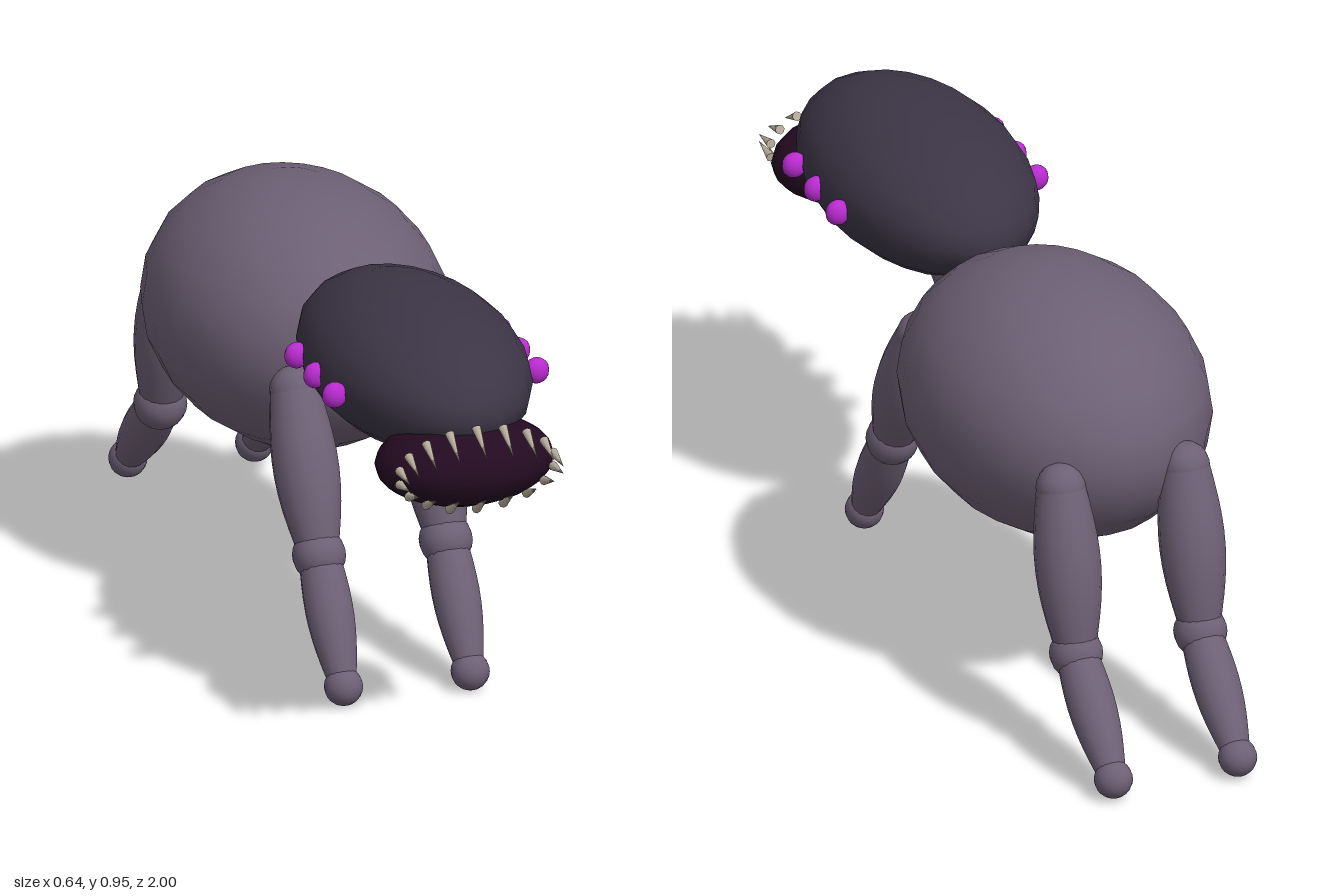
import * as THREE from 'three';

function mat(name, color) {
  const m = new THREE.MeshStandardMaterial({ color });
  m.name = name;
  return m;
}

export function createModel() {
  const model = new THREE.Group();
  model.name = 'creature';
  const skin = mat('dusty purple skin', 0x6d6075);
  const shell = mat('dark head', 0x3c3546);
  const maw = mat('mouth dark red', 0x230b21);
  const glow = mat('magenta eye', 0xb92bd0);
  const bone = mat('tooth bone', 0xb8ad9c);

  function add(name, geometry, material, parent = model) {
    const mesh = new THREE.Mesh(geometry, material);
    mesh.name = name;
    parent.add(mesh);
    return mesh;
  }

  function ellipsoid(name, center, radii, material, w = 20, h = 12, parent = model) {
    const mesh = add(name, new THREE.SphereGeometry(1, w, h), material, parent);
    mesh.position.set(...center);
    mesh.scale.set(...radii);
    return mesh;
  }

  // Turns a mesh whose axis is +y so that it runs from a to b
  function aim(mesh, a, b) {
    const from = new THREE.Vector3(...a), to = new THREE.Vector3(...b);
    mesh.position.copy(from);
    mesh.quaternion.setFromUnitVectors(new THREE.Vector3(0, 1, 0), to.sub(from).normalize());
  }

  // Muscle-like limb segment, swelling between its two end radii
  function limb(name, a, b, r0, rMid, r1, parent = model) {
    const length = new THREE.Vector3(...a).distanceTo(new THREE.Vector3(...b));
    const points = [];
    for (let i = 0; i <= 10; i++) {
      const t = i / 10;
      const base = r0 + (r1 - r0) * t;
      const bulge = (rMid - (r0 + r1) / 2) * Math.sin(Math.PI * t);
      points.push(new THREE.Vector2(base + bulge, t * length));
    }
    aim(add(name, new THREE.LatheGeometry(points, 16), skin, parent), a, b);
  }

  // Body, neck, head and mouth
  ellipsoid('body', [0, 0.628, -0.265], [0.32, 0.286, 0.435], skin, 24);
  limb('neck', [0, 0.62, 0.04], [0, 0.71, 0.34], 0.07, 0.075, 0.06);
  ellipsoid('head', [0, 0.792, 0.52], [0.228, 0.158, 0.412], shell, 24);
  ellipsoid('mouth', [0, 0.685, 0.85], [0.197, 0.094, 0.145], maw, 24);

  // Three eyes on each side of the head
  for (const side of [-1, 1]) {
    for (const z of [0.41, 0.535, 0.66]) {
      ellipsoid('eye', [side * 0.228, 0.79, z], [0.028, 0.029, 0.022], glow, 12, 10);
    }
  }

  // Oval ring of teeth closing in towards the middle line
  const teeth = new THREE.Group();
  teeth.name = 'teeth';
  model.add(teeth);
  for (let i = 0; i < 18; i++) {
    const angle = (i / 18) * Math.PI * 2;
    const x = 0.176 * Math.sin(angle);
    const y = 0.092 * Math.cos(angle);
    const a = [x, 0.692 + y, 0.93];
    const b = [x, 0.692 + y * 0.5, 1];
    const length = Math.hypot(y * 0.5, 0.07);
    const cone = new THREE.ConeGeometry(0.0105, length, 8).translate(0, length / 2, 0);
    aim(add('tooth', cone, bone, teeth), a, b);
  }

  // Four legs: hip, thigh, knee, shin and round foot; points are [y, z]
  const legs = [
    { name: 'front', hip: [0.603, 0.145], knee: [0.285, 0.308], foot: [0.043, 0.47] },
    { name: 'rear', hip: [0.603, -0.655], knee: [0.25, -0.743], foot: [0.046, -0.957] },
  ];
  for (const { name, hip, knee, foot } of legs) {
    for (const side of [-1, 1]) {
      const leg = new THREE.Group();
      leg.name = name + (side > 0 ? 'LeftLeg' : 'RightLeg');
      model.add(leg);
      const [h, k, f] = [hip, knee, foot].map((p) => [side * 0.143, ...p]);
      ellipsoid('hip', h, [0.054, 0.054, 0.054], skin, 16, 12, leg);
      limb('thigh', h, k, 0.053, 0.071, 0.042, leg);
      ellipsoid('knee', k, [0.058, 0.058, 0.058], skin, 16, 12, leg);
      limb('shin', k, f, 0.044, 0.051, 0.028, leg);
      ellipsoid('foot', f, [0.042, 0.042, 0.042], skin, 16, 12, leg);
    }
  }
  return model;
}
